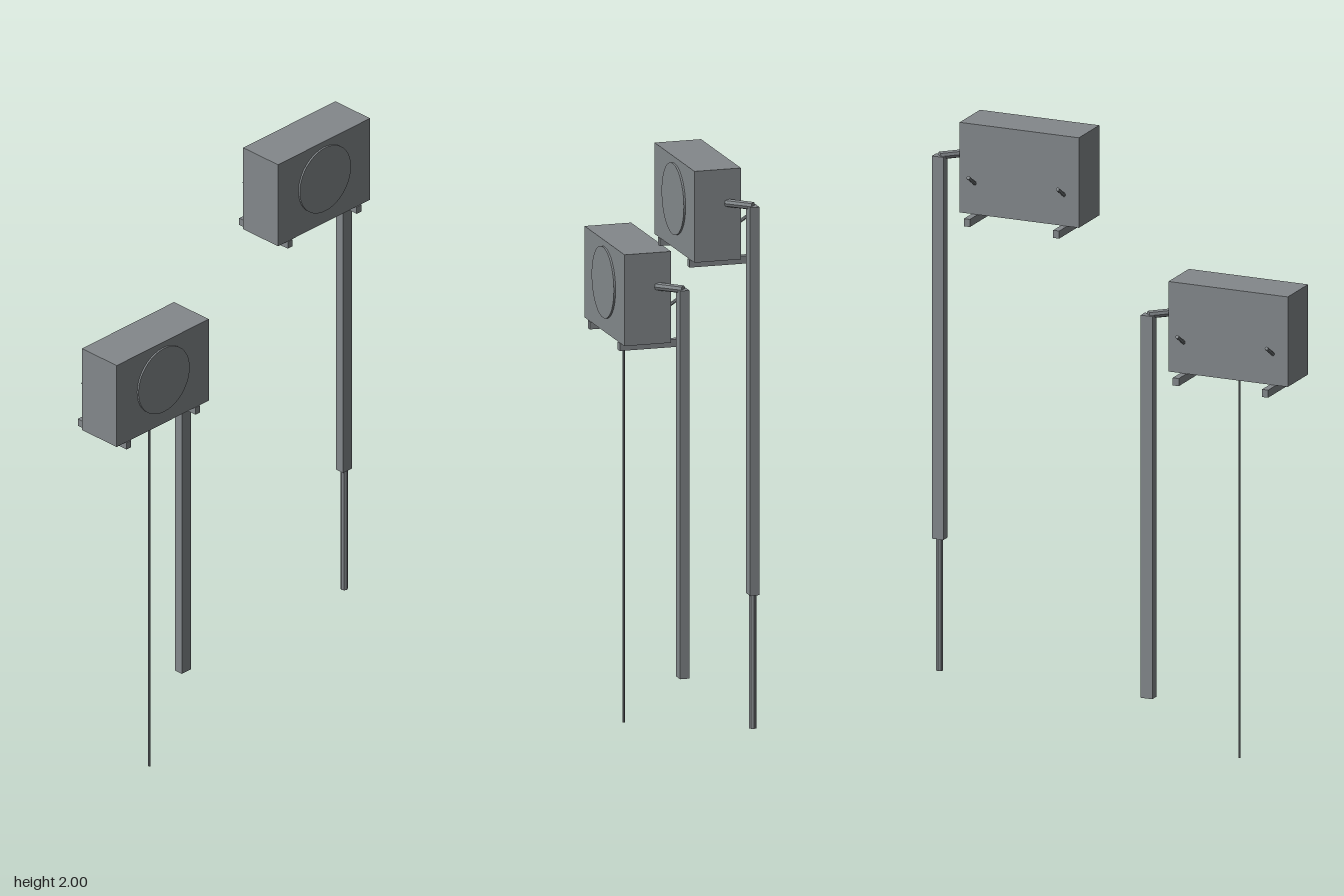
import * as THREE from 'three';

const grey = new THREE.MeshStandardMaterial({ color: 0x83888b, flatShading: true });
grey.name = 'grey metal';

function add(parent, name, geometry, x, y, z) {
  const mesh = new THREE.Mesh(geometry, grey);
  mesh.name = name;
  mesh.position.set(x, y, z);
  parent.add(mesh);
  return mesh;
}

// Round bar between two points
function bar(parent, name, a, b, radius, sides = 8) {
  const from = new THREE.Vector3(...a), to = new THREE.Vector3(...b);
  const dir = to.clone().sub(from);
  const mesh = add(parent, name, new THREE.CylinderGeometry(radius, radius, dir.length(), sides), 0, 0, 0);
  mesh.position.copy(from).add(to).multiplyScalar(0.5);
  mesh.quaternion.setFromUnitVectors(new THREE.Vector3(0, 1, 0), dir.normalize());
  return mesh;
}

// One outdoor unit; its origin is the middle of the casing underside
function outdoorUnit(name, x, y, pipeEnd) {
  const unit = new THREE.Group();
  unit.name = name;
  unit.position.set(x, y, 0);

  add(unit, 'casing', new THREE.BoxGeometry(0.414, 0.296, 0.154), 0, 0.148, 0.025);

  // Round fan cover on the front
  add(unit, 'fanCover', new THREE.CylinderGeometry(0.115, 0.115, 0.006, 40), 0, 0.161, 0.105)
    .rotation.x = Math.PI / 2;

  // Support rails and wall struts
  for (const side of [-1, 1]) {
    const sx = side * 0.155;
    add(unit, 'supportRail', new THREE.BoxGeometry(0.021, 0.025, 0.215), sx, -0.0125, -0.003);
    bar(unit, 'wallStrut', [sx, 0.098, -0.045], [sx, 0.133, -0.1], 0.006);
  }

  // Pipe leaving the side and turning down inside the trunking
  bar(unit, 'sidePipe', [0.2, 0.185, -0.006], [0.267, 0.185, -0.073], 0.013);
  bar(unit, 'downPipe', [0.267, 0.185, -0.072], [0.267, pipeEnd - y, -0.072], 0.012);
  add(unit, 'trunking', new THREE.BoxGeometry(0.04, 1.258, 0.031), 0.267, -0.444, -0.072);
  return unit;
}

export function createModel() {
  const model = new THREE.Group();
  model.name = 'outdoorUnits';
  const lower = outdoorUnit('lowerUnit', -0.405, 1.27, 0.198);
  const upper = outdoorUnit('upperUnit', 0.32, 1.704, 0.197);

  // Thin drain hose under the lower unit
  bar(lower, 'drainHose', [0.003, -0.015, 0.04], [0.003, -1.27, 0.04], 0.004);

  model.add(lower, upper);
  return model;
}
